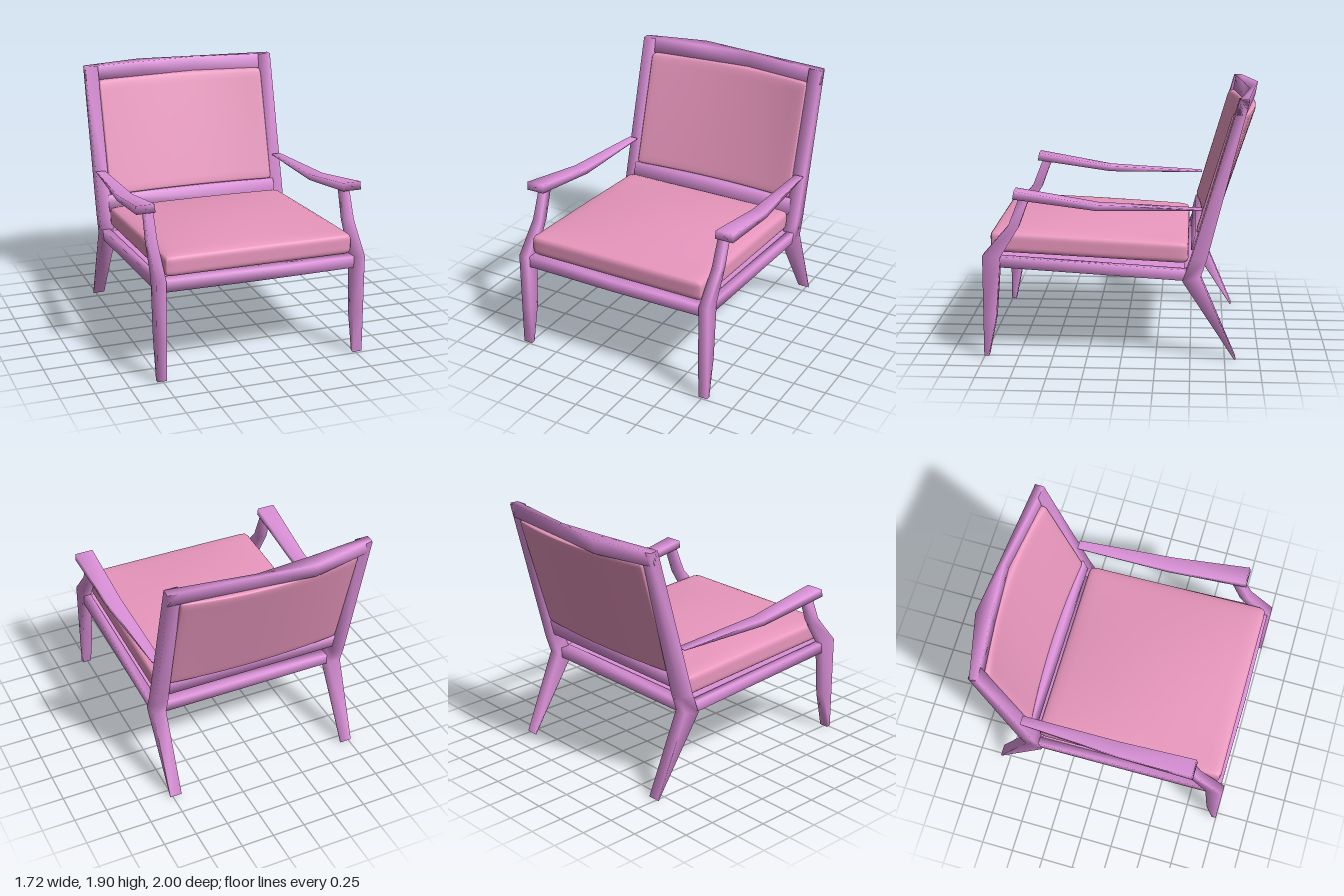
import * as THREE from 'three';
import { mergeVertices } from 'three/addons/utils/BufferGeometryUtils.js';

const wood = new THREE.MeshStandardMaterial({ color: 0xdd92da });
const fabric = new THREE.MeshStandardMaterial({ color: 0xe896bd });

// Closed solid through a list of four-cornered sections, smooth shaded
function loft(rings) {
  const n = rings[0].length, idx = [];
  for (let i = 0; i < rings.length - 1; i++)
    for (let j = 0; j < n; j++) {
      const a = i * n + j, b = i * n + (j + 1) % n;
      idx.push(a, b, b + n, a, b + n, a + n);
    }
  const last = (rings.length - 1) * n;
  for (let j = 1; j < n - 1; j++) idx.push(0, j + 1, j, last, last + j, last + j + 1);
  // Signed volume tells whether the faces point outwards
  const pts = rings.flat().map(p => new THREE.Vector3(...p));
  let volume = 0;
  for (let i = 0; i < idx.length; i += 3)
    volume += pts[idx[i]].dot(pts[idx[i + 1]].clone().cross(pts[idx[i + 2]]));
  if (volume < 0) idx.reverse();
  const g = new THREE.BufferGeometry().setFromPoints(pts);
  g.setIndex(idx);
  g.computeVertexNormals();
  return g;
}

// Bar in the side plane; row: [x0, x1, zA, yA, zB, yB], side is +1 or -1
const sideBar = (rows, side) => loft(rows.map(([x0, x1, zA, yA, zB, yB]) => [
  [side * x0, yA, zA], [side * x1, yA, zA], [side * x1, yB, zB], [side * x0, yB, zB]]));

// Bar running across; row: [x, zFront, zBack], lean shifts the lower edge
const crossBar = (rows, y0, y1, lean = 0) => loft(rows.map(([x, zF, zB]) => [
  [x, y1, zF], [x, y0, zF + lean], [x, y0, zB + lean], [x, y1, zB]]));

// Rounded cushion block, then bent by a rule on (point, u, v, w)
function cushion(hx, hy, hz, r, bend) {
  let g = new THREE.BoxGeometry(2, 2, 2, 16, 16, 16);
  g.deleteAttribute('normal');
  g.deleteAttribute('uv');
  g = mergeVertices(g);
  const half = new THREE.Vector3(hx, hy, hz);
  const inner = half.clone().subScalar(r);
  const pos = g.attributes.position, p = new THREE.Vector3();
  for (let i = 0; i < pos.count; i++) {
    p.fromBufferAttribute(pos, i);
    // Crowd the grid towards the edges
    for (const k of ['x', 'y', 'z']) p[k] = Math.sin(p[k] * Math.PI / 2) * half[k];
    const core = p.clone().clamp(inner.clone().negate(), inner);
    p.sub(core);
    if (p.length() > 1e-6) p.setLength(Math.min(r, Math.max(Math.abs(p.x), Math.abs(p.y), Math.abs(p.z))));
    p.add(core);
    bend(p, p.x / hx, p.y / hy, p.z / hz);
    pos.setXYZ(i, p.x, p.y, p.z);
  }
  g.computeVertexNormals();
  return g;
}

export function createModel() {
  const chair = new THREE.Group();
  chair.name = 'armchair';
  const add = (name, geometry, material = wood) => {
    const m = new THREE.Mesh(geometry, material);
    m.name = name;
    chair.add(m);
  };

  for (const side of [1, -1]) {
    const tag = side > 0 ? 'left' : 'right';
    // Front leg bends back into the arm support
    add(tag + 'FrontLeg', sideBar([
      [0.725, 0.795, 1.0, 0.01, 0.965, 0.01],
      [0.72, 0.795, 1.0, 0.32, 0.906, 0.3],
      [0.72, 0.795, 1.0, 0.76, 0.87, 0.75],
      [0.72, 0.79, 0.81, 0.98, 0.735, 0.97],
      [0.725, 0.785, 0.72, 1.21, 0.65, 1.2]], side));
    // Back leg kinks at the seat and rises as the back post
    add(tag + 'BackPost', sideBar([
      [0.68, 0.77, -0.82, 0, -0.83, 0.005],
      [0.68, 0.78, -0.44, 0.585, -0.57, 0.615],
      [0.68, 0.78, -0.5, 0.75, -0.615, 0.75],
      [0.68, 0.78, -0.83, 1.9, -0.9, 1.89]], side));
    // Armrest tapers towards the post
    add(tag + 'Armrest', sideBar([
      [0.72, 0.86, 0.756, 1.25, 0.767, 1.19],
      [0.715, 0.826, 0.166, 1.15, 0.166, 1.105],
      [0.71, 0.78, -0.58, 1.115, -0.58, 1.105]], side));
    add(tag + 'SeatRail', sideBar([
      [0.72, 0.78, 0.92, 0.755, 0.92, 0.675],
      [0.71, 0.77, -0.5, 0.665, -0.5, 0.585]], side));
  }

  // Top rail bows backwards
  add('topRail', crossBar([
    [-0.78, -0.83, -0.89], [-0.3, -0.885, -1.0],
    [0.13, -0.92, -0.957], [0.78, -0.83, -0.895]], 1.79, 1.9, 0.02));
  add('lowerBackRail', crossBar([[-0.7, -0.53, -0.64], [0.7, -0.53, -0.64]], 0.8, 0.92, 0.03));
  add('frontSeatRail', crossBar([[-0.73, 0.975, 0.88], [0, 0.985, 0.88], [0.73, 0.975, 0.88]], 0.67, 0.755));
  add('backSeatRail', crossBar([[-0.7, -0.45, -0.54], [0.7, -0.45, -0.54]], 0.585, 0.665));

  // Sagging panel under the seat cushion
  const panel = new THREE.PlaneGeometry(1.44, 1.4, 8, 8).rotateX(-Math.PI / 2);
  const pp = panel.attributes.position;
  for (let i = 0; i < pp.count; i++) {
    const u = pp.getX(i) / 0.72, w = pp.getZ(i) / 0.7;
    pp.setXYZ(i, u * 0.72, 0.7 + 0.042 * w - 0.025 * (1 - u * u) * (1 - w * w), 0.21 + w * 0.7);
  }
  panel.computeVertexNormals();
  const panelMaterial = wood.clone();
  panelMaterial.side = THREE.DoubleSide;
  add('seatPanel', panel, panelMaterial);

  // Seat cushion slopes down to the back with a crowned top
  add('seatCushion', cushion(0.715, 0.08, 0.718, 0.045, (p, u, v, w) => {
    p.y += 0.809 + 0.036 * w;
    if (v > 0) p.y += 0.06 * v * (1 - u * u) * (1 - w * w);
    p.z += 0.237;
  }), fabric);

  // Back cushion leans with the posts and bows backwards
  add('backCushion', cushion(0.685, 0.437, 0.06, 0.03, (p, u, v) => {
    p.y += 1.355;
    p.z += -0.712 - 0.128 * v - (0.06 + 0.02 * v) * (1 - u * u);
  }), fabric);

  return chair;
}
